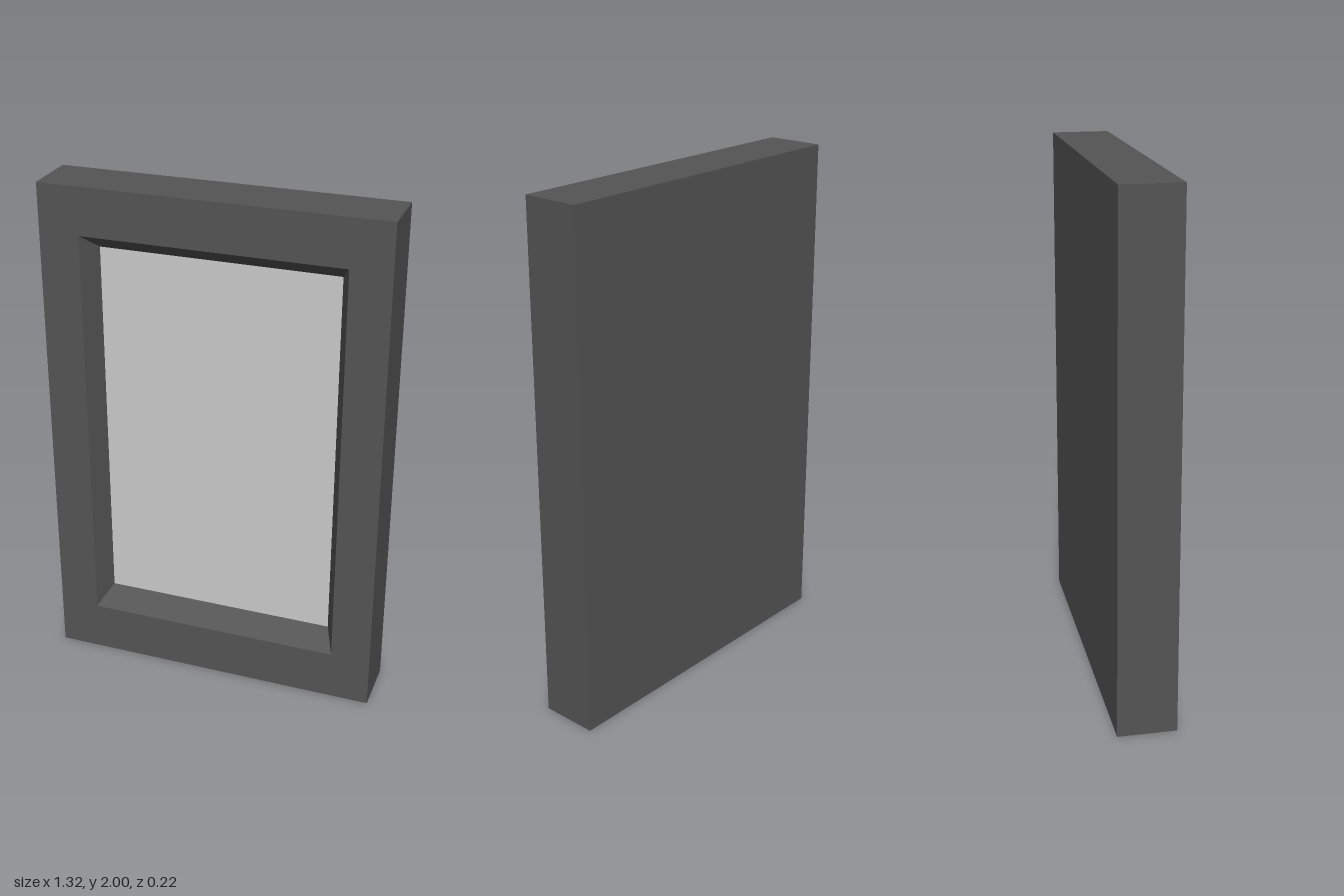
import * as THREE from 'three';

// Rectangle of four corners, counter-clockwise seen from the front
const ring = (x0, x1, y0, y1, z) => [[x0, y0, z], [x1, y0, z], [x1, y1, z], [x0, y1, z]];

// Quad strips between successive rectangles, with a cap on the first one
function loftRings(rings) {
  const pos = [];
  const quad = (a, b, c, d) => pos.push(...a, ...b, ...c, ...a, ...c, ...d);
  const [a, b, c, d] = rings[0];
  quad(d, c, b, a);
  for (let r = 0; r < rings.length - 1; r++) {
    for (let i = 0; i < 4; i++) {
      const j = (i + 1) % 4;
      quad(rings[r][i], rings[r][j], rings[r + 1][j], rings[r + 1][i]);
    }
  }
  const geo = new THREE.BufferGeometry();
  geo.setAttribute('position', new THREE.Float32BufferAttribute(pos, 3));
  geo.computeVertexNormals();
  return geo;
}

export function createModel() {
  const group = new THREE.Group();
  group.name = 'framedPanel';

  const halfW = 0.66, height = 2, halfD = 0.112, recessZ = 0.022;
  const inner = { x0: -0.461, x1: 0.464, y0: 0.265, y1: 1.75 };

  // Solid dark frame: back, sides, front border and bevelled recess
  const frame = new THREE.Mesh(
    loftRings([
      ring(-halfW, halfW, 0, height, -halfD),
      ring(-halfW, halfW, 0, height, halfD),
      ring(-0.503, 0.505, 0.2, 1.815, halfD),
      ring(inner.x0, inner.x1, inner.y0, inner.y1, recessZ),
    ]),
    new THREE.MeshStandardMaterial({ color: 0x555555, flatShading: true })
  );
  frame.name = 'frame';
  group.add(frame);

  // Light panel closing the recess
  const panel = new THREE.Mesh(
    new THREE.PlaneGeometry(inner.x1 - inner.x0, inner.y1 - inner.y0),
    new THREE.MeshStandardMaterial({ color: 0xcccccc })
  );
  panel.position.set((inner.x0 + inner.x1) / 2, (inner.y0 + inner.y1) / 2, recessZ);
  panel.name = 'panel';
  group.add(panel);

  return group;
}
